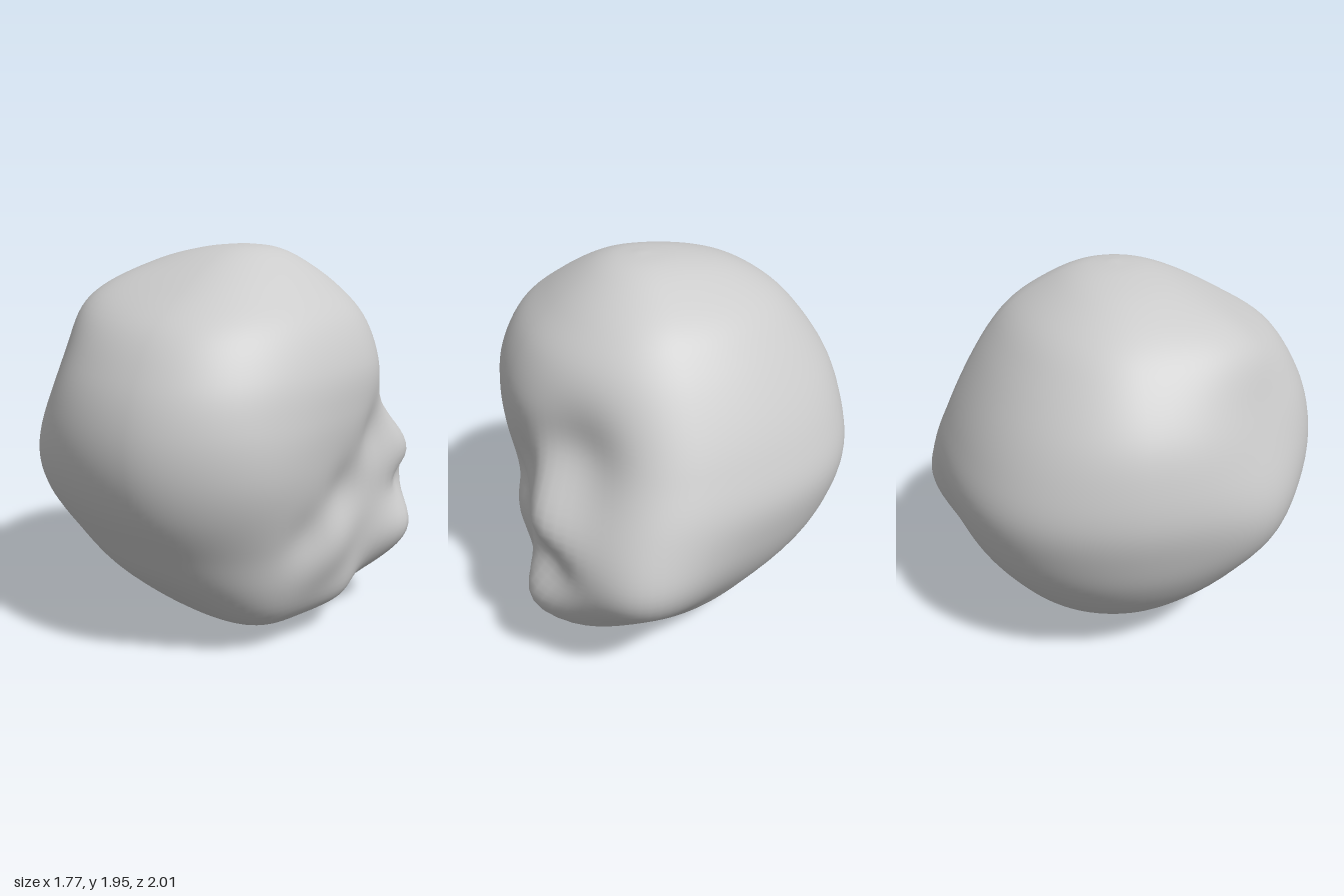
import * as THREE from 'three';
import { mergeVertices } from 'three/addons/utils/BufferGeometryUtils.js';

// Cross-section extents by height: [y, xMin, xMax, zMin, zMax]
const CX = 0.12, CZ = -0.02;
const SECTIONS = [
  [0, CX, CX, CZ, CZ],
  [0.015, 0, 0.22, -0.15, 0.12],
  [0.08, -0.22, 0.42, -0.38, 0.25],
  [0.2, -0.42, 0.58, -0.56, 0.46],
  [0.4, -0.63, 0.68, -0.71, 0.7],
  [0.6, -0.77, 0.73, -0.83, 0.84],
  [0.8, -0.85, 0.755, -0.9, 0.95],
  [1.0, -0.895, 0.78, -0.925, 1.0],
  [1.2, -0.88, 0.8, -0.87, 0.99],
  [1.4, -0.82, 0.79, -0.78, 0.92],
  [1.6, -0.69, 0.705, -0.66, 0.78],
  [1.75, -0.54, 0.56, -0.53, 0.55],
  [1.87, -0.32, 0.4, -0.34, 0.32],
  [1.93, -0.09, 0.27, -0.19, 0.15],
  [1.95, CX, CX, CZ, CZ],
];

// Soft swellings and hollows: centre, radius, push
const LUMPS = [
  [[0.6, 0.65, -0.65], 0.45, [0.1, -0.02, -0.13]],    // broad bulge
  [[0.38, 0.66, -0.82], 0.28, [0.03, 0, -0.11]],      // rear knob
  [[0.7, 0.95, -0.4], 0.2, [0.1, -0.01, -0.04]],      // upper knob
  [[0.62, 0.48, -0.38], 0.2, [0.16, 0, 0]],           // lower knob
  [[0.5, 0.28, -0.4], 0.2, [0.07, -0.03, -0.03]],     // fullness under lower knob
  [[0.64, 0.73, -0.42], 0.11, [-0.05, 0, 0.02]],      // groove between knobs
  [[0.7, 0.55, 0.17], 0.2, [0.05, 0, 0]],             // side swelling
  [[0.6, 0.28, -0.02], 0.16, [0.07, -0.02, 0]],       // low swelling
  [[0.62, 1.2, -0.54], 0.24, [-0.09, 0, 0.08]],       // long hollow above the knobs
  [[0.77, 1.02, -0.2], 0.17, [-0.06, 0, 0.02]],
  [[0.74, 0.8, 0.1], 0.16, [-0.05, 0, 0]],
  [[0.68, 0.65, 0.36], 0.13, [-0.03, 0, -0.01]],
  [[0.45, 0.22, 0.38], 0.32, [0.05, -0.04, 0.05]],    // lower front fullness
  [[0.6, 0.95, 0.62], 0.35, [0.04, 0, 0.04]],         // front side fullness
  [[-0.66, 0.84, 0.58], 0.3, [-0.04, -0.02, 0.03]],   // front corner
  [[-0.6, 1.38, 0.58], 0.32, [0.03, 0, -0.03]],       // flat above the corner
  [[-0.42, 1.69, 0.42], 0.28, [-0.04, 0.02, 0.04]],   // top corner
  [[-0.62, 0.95, -0.6], 0.5, [-0.035, 0, -0.035]],    // rear corner
].map(([c, r, d]) => ({ c: new THREE.Vector3(...c), r, d: new THREE.Vector3(...d) }));

function lumpyBody(rings = 84, sides = 96) {
  const xCurve = new THREE.CatmullRomCurve3(
    SECTIONS.map(([y, x0, x1]) => new THREE.Vector3(x0, y, x1)), false, 'catmullrom');
  const zCurve = new THREE.CatmullRomCurve3(
    SECTIONS.map(([y, , , z0, z1]) => new THREE.Vector3(z0, y, z1)), false, 'catmullrom');
  const positions = [], index = [];
  for (let i = 0; i <= rings; i++) {
    const xs = xCurve.getPoint(i / rings), zs = zCurve.getPoint(i / rings);
    for (let j = 0; j < sides; j++) {
      const a = (j / sides) * Math.PI * 2, c = Math.cos(a), s = Math.sin(a);
      const base = new THREE.Vector3(
        CX + c * (c > 0 ? xs.z - CX : CX - xs.x),
        xs.y,
        CZ + s * (s > 0 ? zs.z - CZ : CZ - zs.x));
      const p = base.clone();
      for (const l of LUMPS) {
        p.addScaledVector(l.d, Math.exp(-base.distanceToSquared(l.c) / (l.r * l.r)));
      }
      positions.push(p.x, Math.max(0, p.y), p.z);
      if (i < rings) {
        const k = i * sides + j, n = i * sides + (j + 1) % sides;
        index.push(k, k + sides, n, n, k + sides, n + sides);
      }
    }
  }
  let geometry = new THREE.BufferGeometry();
  geometry.setAttribute('position', new THREE.Float32BufferAttribute(positions, 3));
  geometry.setIndex(index);
  geometry = mergeVertices(geometry, 1e-5);
  geometry.computeVertexNormals();
  return geometry;
}

export function createModel() {
  const group = new THREE.Group();
  group.name = 'lumpyHead';
  const body = new THREE.Mesh(lumpyBody(), new THREE.MeshStandardMaterial({ color: 0xcccccc }));
  body.name = 'body';
  group.add(body);
  return group;
}
